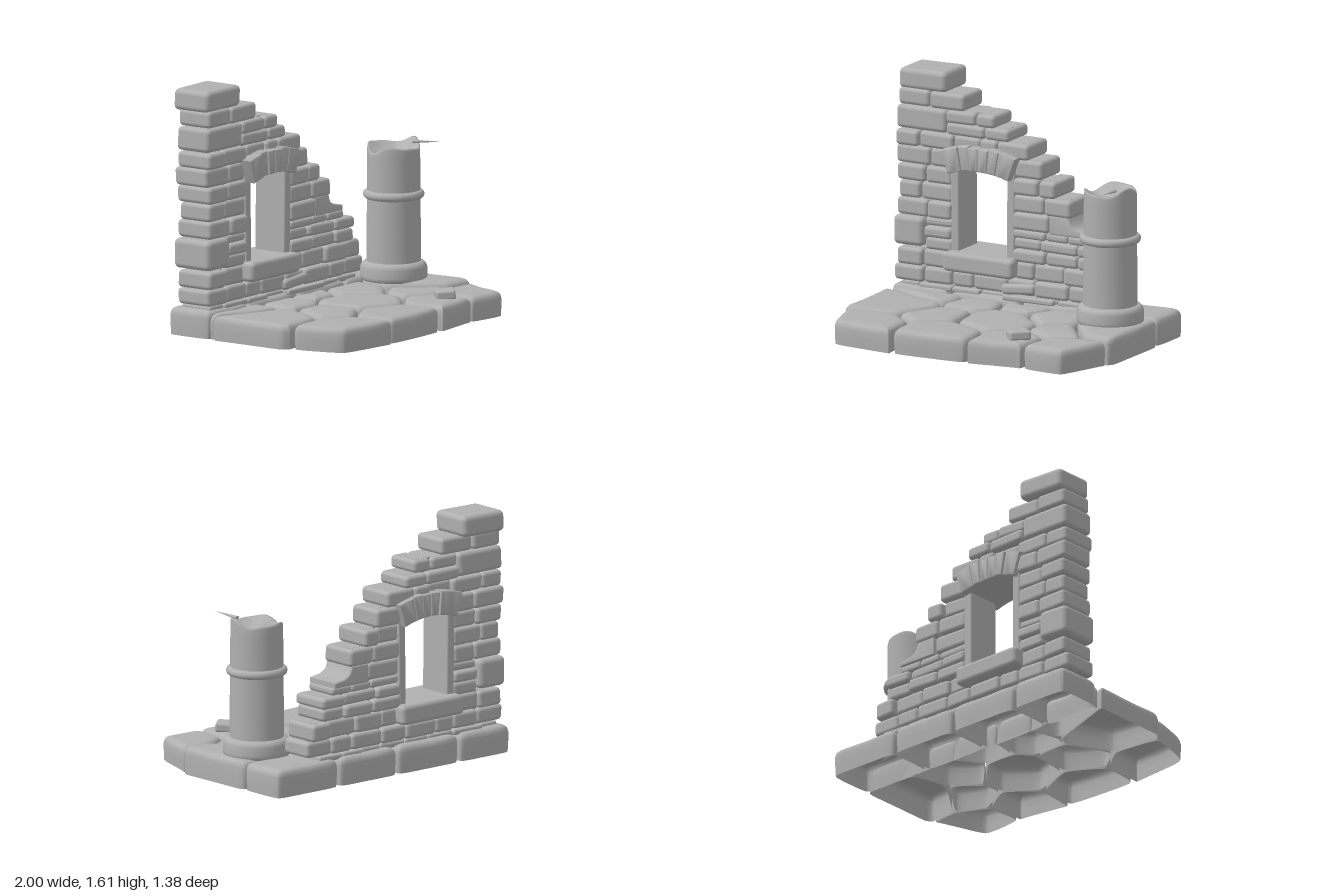
import * as THREE from 'three';
import { RoundedBoxGeometry } from 'three/addons/geometries/RoundedBoxGeometry.js';
import { toCreasedNormals } from 'three/addons/utils/BufferGeometryUtils.js';

const stone = new THREE.MeshStandardMaterial({ color: 0xb0b0b0, side: THREE.DoubleSide });
stone.name = 'stone grey';

let seed = 7;
const jitter = a => {
  seed = (seed * 16807) % 2147483647;
  return (seed / 2147483647 - 0.5) * 2 * a;
};
const toVectors = points => points.map(p => new THREE.Vector2(...p));

function add(parent, name, geometry) {
  const mesh = new THREE.Mesh(geometry, stone);
  mesh.name = name;
  parent.add(mesh);
  return mesh;
}

// Rounded block with slightly uneven faces
function block(parent, name, x0, x1, y0, y1, z0, z1, radius = 0.026) {
  const w = x1 - x0, h = y1 - y0, d = z1 - z0;
  const g = new RoundedBoxGeometry(w, h, d, 3, Math.min(radius, h * 0.4, w * 0.4));
  const p = g.attributes.position, lean = jitter(0.05) * Math.min(1, 0.1 / h), taper = jitter(0.05);
  for (let i = 0; i < p.count; i++) {
    const x = p.getX(i), y = p.getY(i), z = p.getZ(i);
    p.setXYZ(i, x + lean * y, y + taper * 0.4 * x, z * (1 + taper * x / w) + lean * y);
  }
  const mesh = add(parent, name, g);
  mesh.position.set((x0 + x1) / 2, (y0 + y1) / 2, (z0 + z1) / 2);
  return mesh;
}

// Bevelled slab cut from a front outline
function slab(parent, name, points, z0, z1) {
  const bevel = 0.01;
  const g = new THREE.ExtrudeGeometry(new THREE.Shape(toVectors(points)), {
    depth: z1 - z0 - 2 * bevel, bevelSize: bevel, bevelThickness: bevel, bevelOffset: -bevel, bevelSegments: 3,
  });
  add(parent, name, toCreasedNormals(g.translate(0, 0, z0 + bevel), 0.8));
}

// Paving stone: rounded outline raised through inset rings, open underneath
function pavingStone(parent, outline, height) {
  let pts = outline;
  for (const cut of [0.1, 0.25, 0.25]) {
    pts = pts.flatMap((p, i) => {
      const q = pts[(i + 1) % pts.length];
      return [p.clone().lerp(q, cut), p.clone().lerp(q, 1 - cut)];
    });
  }
  const n = pts.length, mid = new THREE.Vector2();
  pts.forEach(p => mid.addScaledVector(p, 1 / n));
  const rings = [[0, 0.004], [height * 0.4, 0], [height - 0.045, 0], [height - 0.022, 0.007],
    [height - 0.007, 0.022], [height, 0.045], [height + 0.002, 0.075]];
  const pos = [], index = [];
  for (const [y, inset] of rings) {
    for (const p of pts) {
      const q = p.clone().lerp(mid, Math.min(0.8, inset / p.distanceTo(mid)));
      pos.push(q.x, y, q.y);
    }
  }
  pos.push(mid.x, height + 0.004, mid.y);
  for (let r = 0; r < rings.length; r++) {
    for (let i = 0; i < n; i++) {
      const j = (i + 1) % n, a = r * n + i, b = r * n + j;
      if (r === rings.length - 1) index.push(a, rings.length * n, b);
      else index.push(a, a + n, b, b, a + n, b + n);
    }
  }
  const g = new THREE.BufferGeometry();
  g.setAttribute('position', new THREE.Float32BufferAttribute(pos, 3));
  g.setIndex(index);
  g.computeVertexNormals();
  add(parent, 'pavingStone', g);
}

// Keep the part of an outline where normal . p <= limit
function clip(points, normal, limit) {
  return points.flatMap((p, i) => {
    const q = points[(i + 1) % points.length];
    const a = normal.dot(p) - limit, b = normal.dot(q) - limit;
    const kept = a <= 0 ? [p] : [];
    if (a * b < 0) kept.push(p.clone().lerp(q, a / (a - b)));
    return kept;
  });
}

function buildFloor(floor) {
  // Paved area split into cells around stone centres: x, z, size
  const border = toVectors([[-0.96, -0.37], [0.98, -0.34], [1, -0.3], [1, 0.23], [0.95, 0.31], [0.84, 0.65],
    [0.5, 0.62], [0.16, 0.67], [-0.42, 0.69], [-0.86, 0.65], [-0.96, 0.28], [-1, 0.24], [-1, -0.3]]);
  const stones = [[-0.74, -0.05, 0.26], [-0.65, -0.3, 0.224], [-0.68, 0.54, 0.22], [-0.35, 0.14, 0.19],
    [-0.13, 0.51, 0.25], [0.06, 0.1, 0.26], [-0.33, -0.23, 0.17], [0.06, -0.31, 0.15], [0.34, -0.16, 0.2],
    [0.56, 0.13, 0.19], [0.35, 0.46, 0.2], [0.74, 0.5, 0.2], [0.82, -0.06, 0.275]];
  for (const [x, z, size] of stones) {
    let cell = border;
    for (const [ox, oz, other] of stones) {
      const normal = new THREE.Vector2(ox - x, oz - z), d = normal.length();
      if (d === 0) continue;
      normal.divideScalar(d);
      const reach = (d * d + size * size - other * other) / (2 * d) - 0.005;
      cell = clip(cell, normal, normal.x * x + normal.y * z + reach);
    }
    pavingStone(floor, cell, x > 0.5 && z < 0 ? 0.18 : 0.16);
  }
  // Straight row under the wall
  const joints = [-1, -0.565, -0.035, 0.465, 1];
  for (let i = 0; i < 4; i++) {
    const [a, b] = [joints[i] + 0.004, joints[i + 1] - 0.004];
    pavingStone(floor, toVectors([[a, -0.68], [(a + b) / 2, -0.68], [b, -0.68], [b, -0.335],
      [(a + b) / 2, -0.335], [a, -0.345]]), 0.18);
  }
}

// A run of bricks with uneven joints around a recessed core
function brickRun(wall, x0, x1, y0, y1) {
  const count = Math.max(1, Math.round((x1 - x0) / 0.2)), step = (x1 - x0) / count;
  let left = x0;
  for (let i = 1; i <= count; i++) {
    const right = i === count ? x1 : x0 + i * step + jitter(0.05);
    block(wall, 'brick', left + 0.001, right - 0.001, y0, y1 - 0.001,
      -0.625 + jitter(0.018), -0.37 + jitter(0.015));
    left = right;
  }
  const core = new THREE.BoxGeometry(x1 - x0 - 0.06, y1 - y0, 0.16);
  add(wall, 'wallCore', core.translate((x0 + x1) / 2, (y0 + y1) / 2, -0.5));
}

function buildWall(wall) {
  // Stepped courses: bottom, right end, left end
  const courses = [[0.165, 0.6, -0.94], [0.205, 0.69, -0.98], [0.31, 0.66, -0.96], [0.425, 0.56, -0.76],
    [0.51, 0.575, -0.76], [0.585, 0.47, -0.76], [0.64, 0.17, -0.96], [0.755, 0.33, -0.95], [0.87, 0.215, -0.96],
    [0.98, 0.11, -0.975], [1.1, 0.015, -0.97], [1.205, -0.135, -0.6], [1.285, -0.235, -0.6],
    [1.37, -0.46, -0.955], [1.48]];
  for (let i = 0; i + 1 < courses.length; i++) {
    const [y0, right, left] = courses[i], y1 = courses[i + 1][0];
    if (y0 > 0.3 && y0 < 1.05) {
      brickRun(wall, left, -0.555, y0, y1);
      brickRun(wall, -0.1, right, y0, y1);
    } else {
      brickRun(wall, left, right, y0, y1);
    }
  }
  // Larger corner stones
  block(wall, 'capStone', -0.96, -0.605, 1.47, 1.61, -0.67, -0.38, 0.035);
  block(wall, 'cornerStone', -0.97, -0.6, 1.21, 1.365, -0.63, -0.37, 0.03);
  block(wall, 'cornerStone', -0.985, -0.76, 0.44, 0.635, -0.65, -0.35, 0.035);
  // Chipped brick with a sloping break
  slab(wall, 'brokenBrick', [[0.17, 0.635], [0.46, 0.635], [0.46, 0.67], [0.37, 0.685], [0.33, 0.71], [0.31, 0.76],
    [0.17, 0.76]], -0.62, -0.37);
}

function buildWindow(win) {
  block(win, 'windowSill', -0.59, -0.07, 0.315, 0.445, -0.69, -0.3, 0.03);
  for (const x of [-0.565, -0.15]) block(win, 'windowJamb', x, x + 0.06, 0.43, 1.02, -0.62, -0.375, 0.012);
  // Arch stones fanned around a low centre
  const cuts = [-0.325, -0.18, -0.09, 0, 0.09, 0.18, 0.325];
  const at = (r, a) => [-0.33 + r * Math.sin(a), 0.3 + r * Math.cos(a)];
  for (let i = 0; i < 6; i++) {
    const a = cuts[i], b = cuts[i + 1], m = (a + b) / 2;
    const outer = 0.857 + jitter(0.007), dz = jitter(0.008);
    slab(win, 'archStone', [at(0.7, a), at(0.7, m), at(0.7, b), at(outer, b), at(outer, m), at(outer, a)],
      -0.67 + dz, -0.315 + dz);
  }
}

function buildColumn(column) {
  const lathe = points => new THREE.LatheGeometry(toVectors(points), 48);
  add(column, 'columnBase', lathe([[0, 0.17], [0.208, 0.17], [0.217, 0.182], [0.219, 0.2], [0.216, 0.255],
    [0.208, 0.272], [0.198, 0.283], [0.182, 0.29], [0.17, 0.292]]));
  // Shaft with a jagged, hollowed top
  const shaft = lathe([[0.176, 0.28], [0.175, 0.5], [0.173, 0.69], [0.172, 0.8], [0.171, 0.97], [0.171, 1.03],
    [0.168, 1.045], [0.158, 1.043], [0.13, 1.02], [0.08, 1], [0.001, 0.995]]);
  const p = shaft.attributes.position;
  for (let i = 0; i < p.count; i++) {
    if (p.getY(i) < 0.99) continue;
    const x = p.getX(i) / 0.171, z = p.getZ(i) / 0.171, r = Math.hypot(x, z), a = Math.atan2(z, x);
    p.setY(i, p.getY(i) + r * (0.014 * x + 0.02 * Math.sin(3 * a + 0.6) + 0.008 * Math.sin(5 * a)));
  }
  shaft.computeVertexNormals();
  add(column, 'columnShaft', shaft);
  add(column, 'columnRing', new THREE.TorusGeometry(0.17, 0.029, 12, 48).rotateX(Math.PI / 2).translate(0, 0.727, 0));
  // Thin splinter left on the broken rim
  const splinter = add(column, 'splinter', new THREE.ConeGeometry(0.03, 0.2, 8).rotateX(Math.PI / 2).scale(0.6, 0.4, 1));
  splinter.position.set(0.095, 1.074, 0.195);
  splinter.rotation.set(-0.08, 0.12, 0);
  column.position.set(0.738, 0, -0.172);
}

function buildRubble(rubble) {
  block(rubble, 'looseStone', 0.36, 0.5, 0.155, 0.215, 0.415, 0.545, 0.015).rotation.set(-0.08, 0.75, 0.05);
  block(rubble, 'fallenBrick', -0.18, 0.07, 0.21, 0.28, -0.4, -0.345).rotation.z = 0.08;
  block(rubble, 'fallenSlab', -0.16, 0.22, 0.17, 0.205, -0.42, -0.33, 0.012);
}

export function createModel() {
  const model = new THREE.Group();
  model.name = 'ruin';
  const parts = { floor: buildFloor, wall: buildWall, window: buildWindow, column: buildColumn, rubble: buildRubble };
  for (const [name, build] of Object.entries(parts)) {
    const group = new THREE.Group();
    group.name = name;
    build(group);
    model.add(group);
  }
  return model;
}
